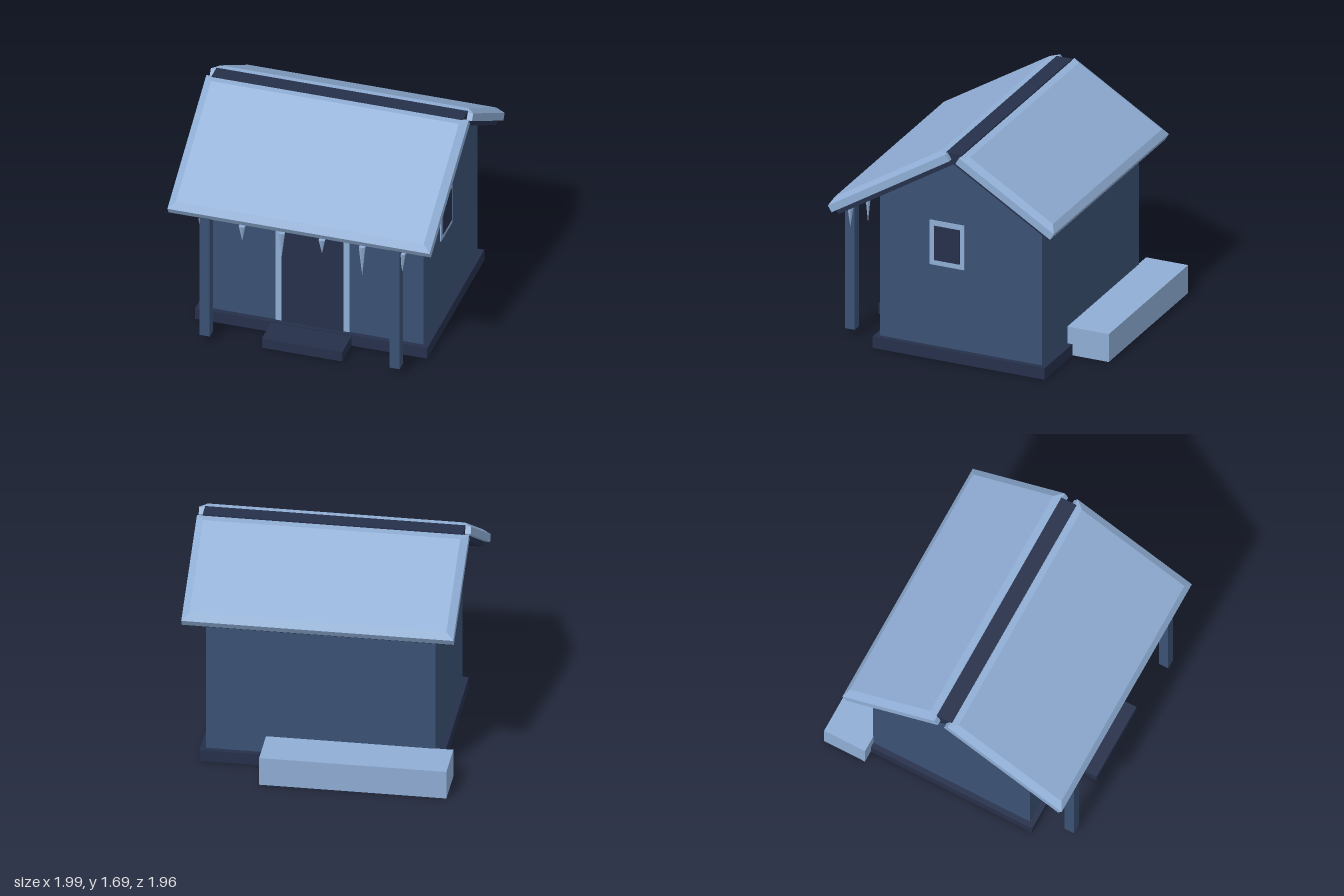
import * as THREE from 'three';

const mat = (name, color) => {
  const m = new THREE.MeshStandardMaterial({ color });
  m.name = name;
  return m;
};

export function createModel() {
  const snow = mat('pale blue snow', 0x8fadd4);
  const timber = mat('blue timber', 0x3a5174);
  const dark = mat('dark navy', 0x25304a);
  const model = new THREE.Group();
  model.name = 'snowyCabin';

  const add = (name, geometry, material, parent = model) => {
    const mesh = new THREE.Mesh(geometry, material);
    mesh.name = name;
    parent.add(mesh);
    return mesh;
  };
  // Box given by its extents on each axis
  const box = (name, material, [x0, x1], [y0, y1], [z0, z1], parent) => {
    const g = new THREE.BoxGeometry(x1 - x0, y1 - y0, z1 - z0);
    g.translate((x0 + x1) / 2, (y0 + y1) / 2, (z0 + z1) / 2);
    return add(name, g, material, parent);
  };

  // Foundation, door step and snow bank behind the cabin
  box('foundation', dark, [-0.88, 0.88], [0, 0.09], [-0.69, 0.68]);
  box('doorStep', dark, [-0.305, 0.305], [0, 0.08], [0.67, 0.9]);
  box('snowBank', snow, [-0.97, 0.4], [0.002, 0.222], [-0.98, -0.645]);

  // Walls with gables, extruded along x
  const gable = new THREE.Shape([
    [-0.64, 0.09], [0.65, 0.09], [0.65, 1.208], [0, 1.605], [-0.64, 1.214],
  ].map(([a, b]) => new THREE.Vector2(a, b)));
  const walls = new THREE.ExtrudeGeometry(gable, { depth: 1.68, bevelEnabled: false });
  walls.translate(0, 0, -0.84);
  walls.rotateY(Math.PI / 2);
  add('walls', walls, timber);

  // Door and its trim
  box('doorTrim', snow, [-0.28, 0.28], [0.09, 1.09], [0.638, 0.647]);
  box('door', dark, [-0.235, 0.235], [0.09, 1.05], [0.645, 0.653]);

  // Side window
  box('windowFrame', snow, [0.838, 0.847], [0.73, 1.08], [-0.035, 0.24]);
  box('windowPane', dark, [0.845, 0.852], [0.77, 1.04], [0, 0.205]);

  // Snow slab with its upper edges chamfered
  const snowSlab = (halfWidth, y0, yMid, y1, z0, z1, inset) => {
    let g = new THREE.BoxGeometry(2 * halfWidth, 2, z1 - z0, 1, 2, 1);
    const p = g.attributes.position;
    for (let i = 0; i < p.count; i++) {
      const row = Math.round(p.getY(i));
      const cut = row > 0 ? inset : 0;
      p.setXYZ(i,
        p.getX(i) - Math.sign(p.getX(i)) * cut,
        [y0, yMid, y1][row + 1],
        p.getZ(i) - Math.sign(p.getZ(i)) * cut + (z0 + z1) / 2);
    }
    g = g.toNonIndexed();
    g.computeVertexNormals();
    return g;
  };

  // Two roof slopes: local y is across the slope, local z runs down it
  const slopes = [
    { name: 'frontRoof', turn: 0, snowTop: -0.842, snowEnd: 0.256, end: 0.235 },
    { name: 'backRoof', turn: Math.PI, snowTop: -0.825, snowEnd: 0.06, end: 0.04 },
  ];
  for (const s of slopes) {
    const side = new THREE.Group();
    side.name = s.name;
    side.rotation.y = s.turn;
    const slope = new THREE.Group();
    slope.name = s.name + 'Slope';
    slope.rotation.x = THREE.MathUtils.degToRad(31.5);
    side.add(slope);
    model.add(side);
    box(s.name + 'Boards', dark, [-0.955, 0.955], [1.368, 1.41], [-0.838, s.end], slope);
    add(s.name + 'Snow', snowSlab(0.995, 1.407, 1.464, 1.494, s.snowTop, s.snowEnd, 0.055), snow, slope);
  }
  box('ridgeBeam', dark, [-0.953, 0.953], [1.6, 1.69], [-0.065, 0.06]);

  // Porch posts
  for (const x of [-0.72, 0.72]) {
    box('porchPost', timber, [x - 0.038, x + 0.038], [0.057, 1.075], [0.88, 0.957]);
  }

  // Icicles under the front eave: x and length
  const icicles = [[-0.755, 0.17], [-0.45, 0.13], [-0.15, 0.2], [0.155, 0.12], [0.46, 0.25], [0.765, 0.16]];
  for (const [x, length] of icicles) {
    const cone = new THREE.ConeGeometry(0.026, length, 6).toNonIndexed();
    cone.computeVertexNormals();
    cone.rotateX(Math.PI);
    add('icicle', cone, snow).position.set(x, 1.03 - length / 2, 0.91);
  }

  return model;
}
